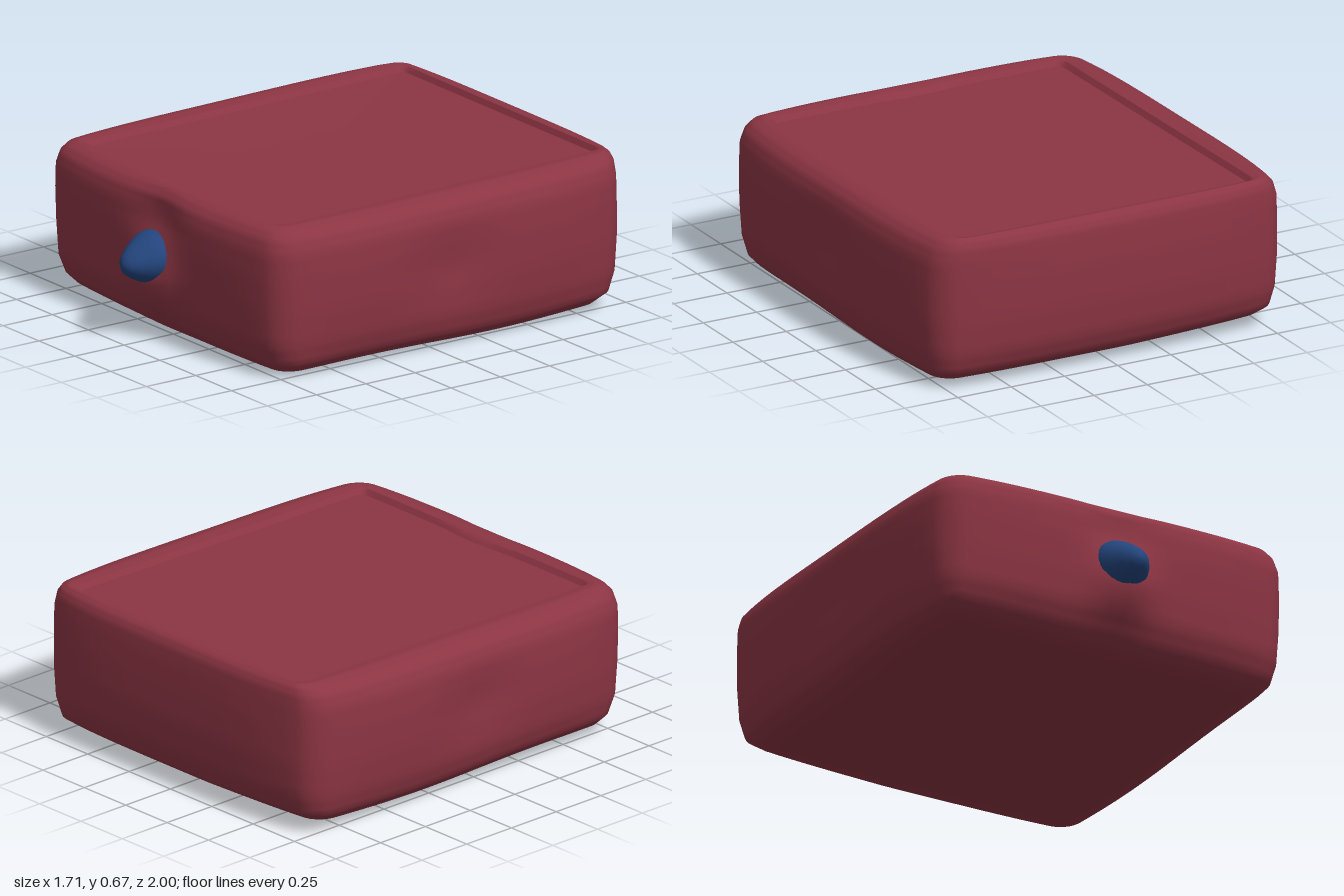
import * as THREE from 'three';
import { toCreasedNormals } from 'three/addons/utils/BufferGeometryUtils.js';

const bump = (a, b, s) => Math.exp(-(a * a + b * b) / (s * s));

// Rounded rectangle in -1..1 units, walked from +x towards +z
function outline(r, perSide = 22, perCorner = 5) {
  const pts = [];
  for (let k = 0; k < 4; k++) {
    const a = k * Math.PI / 2, c = Math.cos(a), s = Math.sin(a);
    const add = (x, z) => pts.push([x * c - z * s, x * s + z * c]);
    for (let i = 0; i < perSide; i++) add(1, (1 - r) * (2 * i / perSide - 1));
    for (let i = 0; i < perCorner; i++) {
      const t = i / perCorner * Math.PI / 2;
      add(1 - r + r * Math.cos(t), 1 - r + r * Math.sin(t));
    }
  }
  return pts;
}

// Height, half width, back z, front z, swelling of the sides, corner radius
const sections = [
  [0.005, 0.30, -0.40, 0.30, 0, 0.1],
  [0.005, 0.69, -0.78, 0.66, 0.02, 0.1],
  [0.025, 0.755, -0.87, 0.73, 0.02, 0.1],
  [0.065, 0.785, -0.92, 0.76, 0.03, 0.1],
  [0.15, 0.797, -0.94, 0.785, 0.045, 0.1],
  [0.30, 0.803, -0.945, 0.79, 0.055, 0.1],
  [0.45, 0.803, -0.945, 0.795, 0.055, 0.1],
  [0.56, 0.80, -0.945, 0.795, 0.05, 0.1],
  [0.615, 0.785, -0.945, 0.785, 0.045, 0.1],
  [0.645, 0.762, -0.94, 0.765, 0.035, 0.09],
  [0.66, 0.725, -0.932, 0.735, 0.02, 0.07],
  [0.655, 0.69, -0.92, 0.71, 0, 0.05],
  [0.632, 0.675, -0.908, 0.695, 0, 0.05],
  [0.630, 0.30, -0.40, 0.30, 0, 0.05],
];

function bodyGeometry() {
  // Extra in-between sections keep the dents smooth
  const rings = [];
  const steps = 3;
  sections.forEach((s, i) => {
    const next = sections[i + 1];
    if (!next) return rings.push(s);
    for (let k = 0; k < steps; k++) rings.push(s.map((v, n) => v + (next[n] - v) * k / steps));
  });

  const n = outline(0.1).length, pos = [], idx = [];
  for (const [h, hx, zb, zf, swell, r] of rings) {
    const cz = (zb + zf) / 2, hz = (zf - zb) / 2;
    for (const [tx, tz] of outline(r)) {
      let x = tx * (hx + swell * (1 - tz ** 4));
      let z = cz + tz * (hz + swell * (1 - tx ** 4));
      // Neck behind the knob with a dent above it, and a dent in each side
      if (tz > 0.95 && h < 0.65) {
        z += 0.07 * bump(x, h - 0.27, 0.13) - 0.035 * bump(x * 0.7, h - 0.54, 0.1);
      }
      if (Math.abs(tx) > 0.95) x -= Math.sign(tx) * 0.025 * bump((z + 0.05) * 0.7, h - 0.36, 0.14);
      // The top rises to the back, the base lifts on one side
      const up = h / 0.66;
      const y = h - 0.013 * z * up + (1 - up) * (0.03 * Math.max(0, -x - 0.1) + 0.006 * (1 + Math.sin(z * 5)));
      pos.push(x, y, z);
    }
  }
  for (let i = 0; i < rings.length - 1; i++) {
    for (let j = 0; j < n; j++) {
      const a = i * n + j, b = i * n + (j + 1) % n;
      idx.push(a, a + n, b, b, a + n, b + n);
    }
  }
  // Close the middle of the base and of the top panel
  const low = pos.length / 3, high = low + 1, last = (rings.length - 1) * n;
  pos.push(0, 0.01, -0.05, 0, 0.63, -0.05);
  for (let j = 0; j < n; j++) {
    const k = (j + 1) % n;
    idx.push(low, j, k, high, last + k, last + j);
  }
  const g = new THREE.BufferGeometry();
  g.setAttribute('position', new THREE.Float32BufferAttribute(pos, 3));
  g.setIndex(idx);
  return toCreasedNormals(g, 0.75);
}

// Blunt pointed knob, turned to face the front
function knobGeometry() {
  const profile = [[0.105, 0.76], [0.122, 0.83], [0.116, 0.87], [0.098, 0.91],
    [0.07, 0.955], [0.045, 0.985], [0.02, 0.998], [0, 1]];
  const g = new THREE.LatheGeometry(profile.map(p => new THREE.Vector2(...p)), 28);
  g.rotateX(Math.PI / 2);
  g.scale(1, 0.93, 1);
  const p = g.attributes.position;
  for (let i = 0; i < p.count; i++) {
    const a = Math.atan2(p.getY(i), p.getX(i)), f = 1 + 0.03 * Math.sin(3 * a + 1);
    p.setXY(i, p.getX(i) * f - 0.008, p.getY(i) * f + 0.355 - 0.1 * Math.max(0, p.getZ(i) - 0.87));
  }
  g.computeVertexNormals();
  return g;
}

export function createModel() {
  const red = new THREE.MeshStandardMaterial({ color: 0x8c3543 });
  red.name = 'dark red';
  const blue = new THREE.MeshStandardMaterial({ color: 0x23457d });
  blue.name = 'navy blue';

  const model = new THREE.Group();
  model.name = 'drawer';
  const add = (name, geometry, material) => {
    const mesh = new THREE.Mesh(geometry, material);
    mesh.name = name;
    model.add(mesh);
  };
  add('drawerBody', bodyGeometry(), red);
  add('knob', knobGeometry(), blue);
  return model;
}
